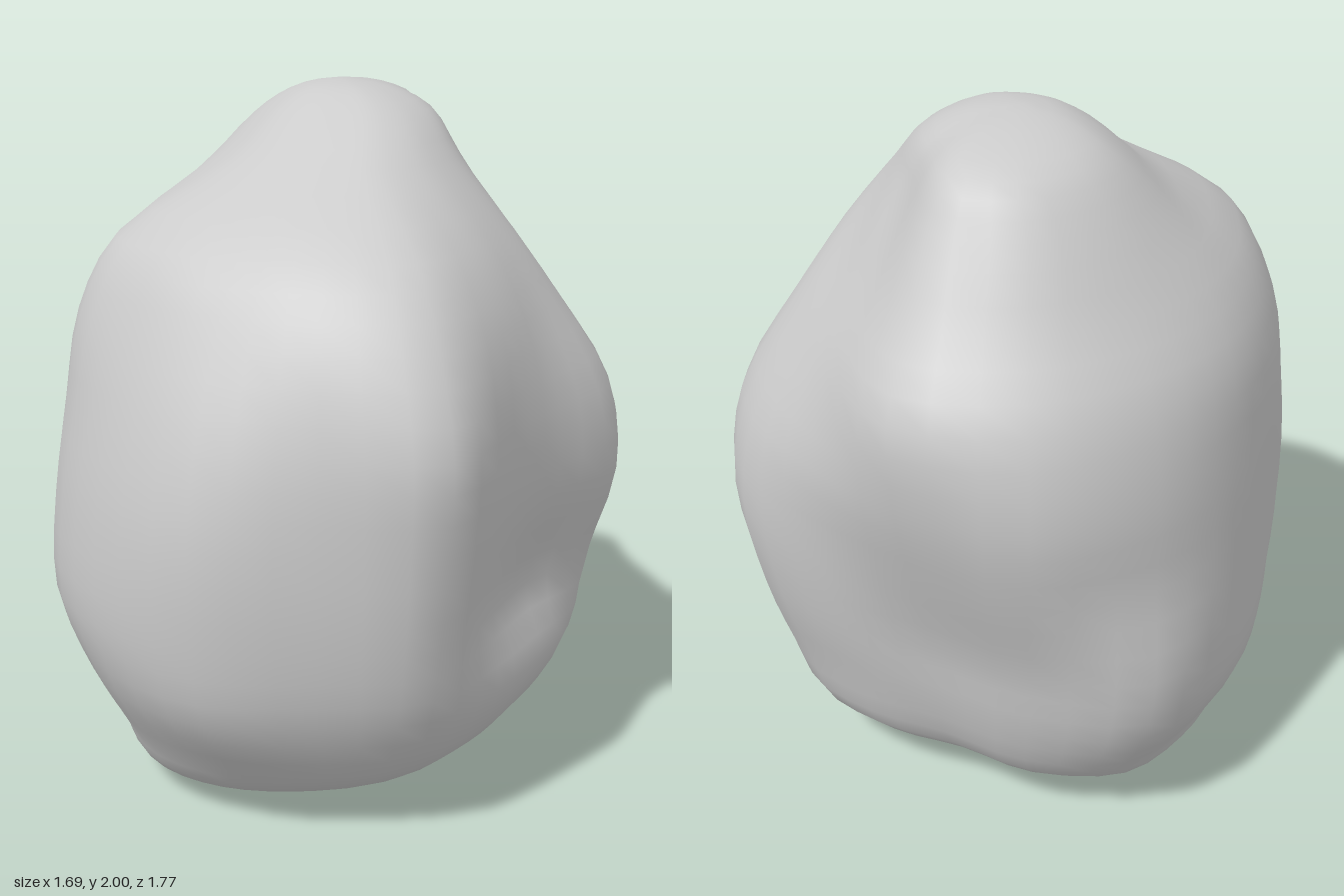
import * as THREE from 'three';

const SIDES = 48; // columns around the boulder
const ROWS = 39;  // steps from bottom to top

// Cross-section: radii every 22.5 degrees, starting at +x and turning towards +z
function ring(y, radii, scale = 1, dx = 0, dz = 0) {
  return new THREE.CatmullRomCurve3(radii.map((r, i) => {
    const a = (i / radii.length) * Math.PI * 2;
    return new THREE.Vector3(dx + Math.cos(a) * r * scale, y, dz + Math.sin(a) * r * scale);
  }), true);
}

function boulderGeometry() {
  const base = [.65, .58, .54, .56, .62, .63, .66, .68, .66, .64, .64, .66, .70, .64, .56, .60];
  const shelf = [.73, .70, .65, .67, .75, .75, .81, .80, .76, .72, .73, .77, .83, .73, .64, .67];
  const crease = [.80, .74, .60, .64, .81, .80, .86, .86, .84, .76, .745, .79, .88, .78, .69, .73];
  const belly = [.845, .82, .68, .69, .86, .82, .87, .85, .83, .77, .74, .79, .86, .88, .79, .78];
  const chest = [.80, .79, .68, .70, .88, .81, .82, .80, .79, .75, .74, .78, .86, .93, .87, .80];
  const dent = [.65, .64, .60, .65, .78, .74, .71, .72, .74, .71, .71, .75, .81, .89, .89, .72];
  const shoulder = [.50, .50, .49, .53, .62, .60, .58, .61, .63, .60, .61, .65, .70, .76, .76, .58];
  const crown = [.37, .34, .32, .32, .32, .29, .28, .28, .29, .31, .37, .48, .58, .65, .63, .43];

  // Cross-sections from the rounded underside to the off-centre peak
  const rings = [
    ring(.03, base, .57, -.15, -.05),
    ring(.1, base, .83, -.07, -.03),
    ring(.2, base),
    ring(.4, shelf),
    ring(.62, crease),
    ring(.9, belly),
    ring(1.15, chest),
    ring(1.4, dent),
    ring(1.6, shoulder),
    ring(1.8, crown),
    ring(1.92, crown, .7, .06, -.09),
    ring(1.98, crown, .36, .07, -.13),
  ];
  const bottom = new THREE.Vector3(-.18, 0, -.08);
  const top = new THREE.Vector3(.08, 2, -.19);

  // One smooth column per side, sampled between the two poles
  const positions = [...bottom, ...top];
  for (let j = 0; j < SIDES; j++) {
    const column = new THREE.CatmullRomCurve3(
      [bottom, ...rings.map((r) => r.getPoint(j / SIDES)), top]);
    for (let i = 1; i < ROWS; i++) positions.push(...column.getPoint(i / ROWS));
  }

  // Skin between neighbouring columns; rows 0 and ROWS are the shared poles
  const at = (j, i) => {
    if (i === 0) return 0;
    if (i === ROWS) return 1;
    return 2 + (j % SIDES) * (ROWS - 1) + i - 1;
  };
  const index = [];
  for (let j = 0; j < SIDES; j++) {
    for (let i = 0; i < ROWS; i++) {
      const a = at(j, i), b = at(j + 1, i), c = at(j, i + 1), d = at(j + 1, i + 1);
      if (i < ROWS - 1) index.push(a, c, d);
      if (i > 0) index.push(a, d, b);
    }
  }
  const geometry = new THREE.BufferGeometry();
  geometry.setAttribute('position', new THREE.Float32BufferAttribute(positions, 3));
  geometry.setIndex(index);
  geometry.computeVertexNormals();
  return geometry;
}

export function createModel() {
  const group = new THREE.Group();
  group.name = 'rock';
  const boulder = new THREE.Mesh(
    boulderGeometry(), new THREE.MeshStandardMaterial({ color: 0xcccccc }));
  boulder.name = 'boulder';
  group.add(boulder);
  return group;
}
